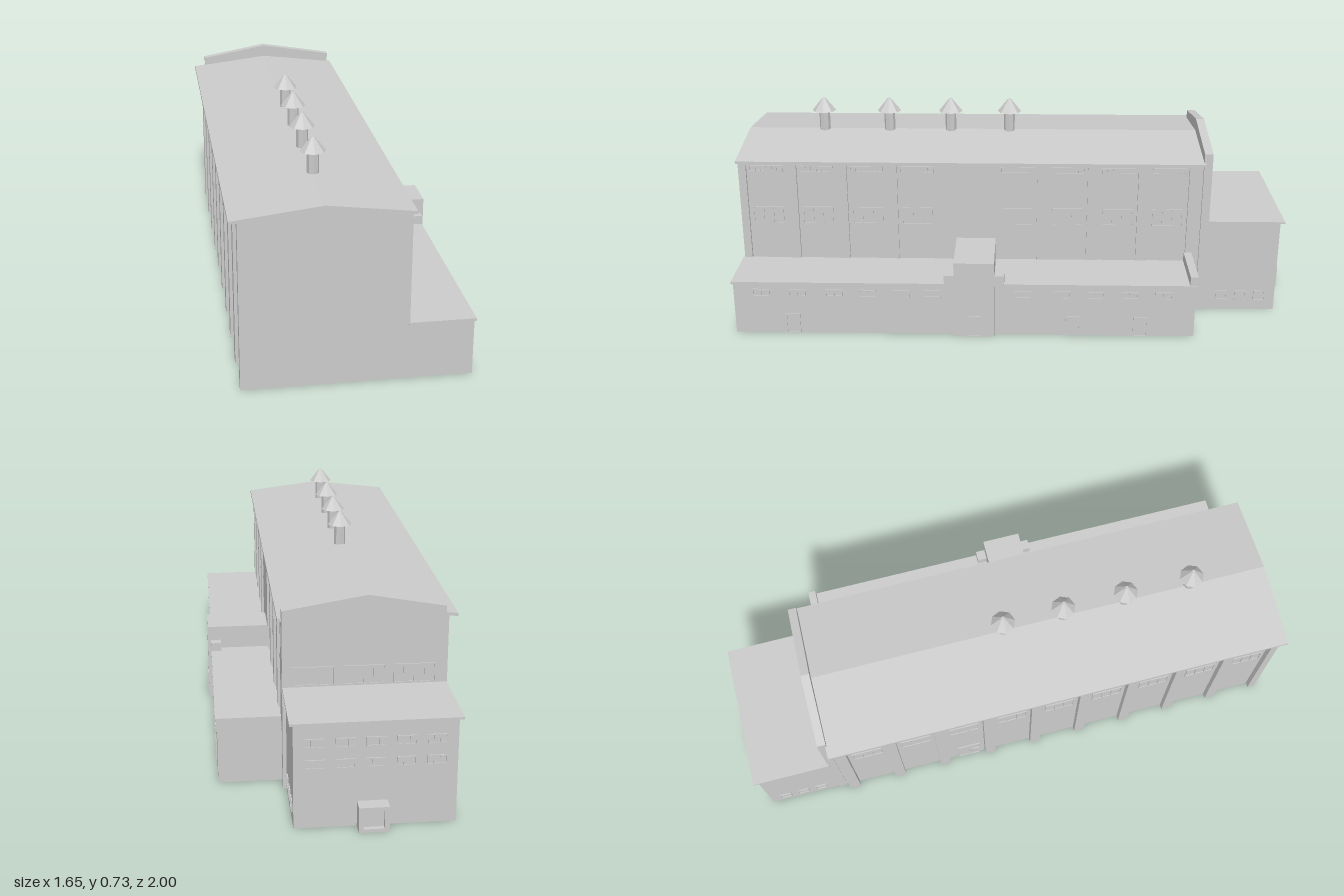
import * as THREE from 'three';

const mat = new THREE.MeshStandardMaterial({ color: 0xcccccc, flatShading: true });

export function createModel() {
  const model = new THREE.Group();
  const hall = new THREE.Group();
  hall.name = 'industrialBuilding';
  hall.rotation.y = 0.535; // the building stands askew to the axes
  model.add(hall);

  const add = (name, geometry, parent = hall) => {
    const mesh = new THREE.Mesh(geometry, mat);
    mesh.name = name;
    parent.add(mesh);
    return mesh;
  };
  // Box given by its limits on each axis
  const box = (name, x0, x1, y0, y1, z0, z1) =>
    add(name, new THREE.BoxGeometry(x1 - x0, y1 - y0, z1 - z0)
      .translate((x0 + x1) / 2, (y0 + y1) / 2, (z0 + z1) / 2));
  // Outline in x and y, extruded along z
  const slab = (name, points, z0, z1) => {
    const shape = new THREE.Shape(points.map(p => new THREE.Vector2(...p)));
    add(name, new THREE.ExtrudeGeometry(shape, { depth: z1 - z0, bevelEnabled: false }).translate(0, 0, z0));
  };
  // Window with a frame and mullions on a wall facing along x or z
  const windowOn = (name, axis, face, dir, centre, width, y0, y1, panes) => {
    const bar = (n, a, b, c, d, out) => {
      const f0 = Math.min(face, face + dir * out), f1 = Math.max(face, face + dir * out);
      if (axis === 'x') box(n, f0, f1, c, d, a, b);
      else box(n, a, b, c, d, f0, f1);
    };
    const a = centre - width / 2, b = centre + width / 2, t = 0.003;
    bar(name + 'Pane', a, b, y0, y1, 0.001);
    bar(name + 'Sill', a, b, y0, y0 + t, 0.004);
    bar(name + 'Head', a, b, y1 - t, y1, 0.004);
    for (let i = 0; i <= panes; i++) {
      const m = a + (b - a - t) * i / panes;
      bar(name + 'Mullion', m, m + t, y0, y1, 0.004);
    }
  };

  // Main hall with gabled roof and raised back wall
  const ridge = -0.085, z0 = -0.75, z1 = 0.925;
  slab('hallWalls', [[-0.333, 0], [0.178, 0], [0.178, 0.57], [ridge, 0.603], [-0.333, 0.573]], z0, z1);
  slab('frontGableWall', [[-0.342, 0], [0.188, 0], [0.188, 0.573], [ridge, 0.605], [-0.342, 0.573]], 0.9, 0.928);
  slab('hallRoof', [[-0.378, 0.57], [ridge, 0.603], [0.2, 0.57], [0.2, 0.58], [ridge, 0.615], [-0.378, 0.58]], z0, 0.934);
  slab('backParapet', [[-0.335, 0], [0.188, 0], [0.188, 0.615], [ridge, 0.66], [-0.335, 0.615]], -0.775, -0.745);

  // Nine bays on each long side, divided by piers
  const step = 0.1817, first = -0.715;
  for (let i = 0; i < 10; i++) {
    const z = first + i * step;
    box('westPier', -0.352, -0.33, 0, 0.574, z - 0.02, Math.min(z + 0.02, 0.928));
    box('eastPier', 0.17, 0.188, 0.18, 0.57, z - 0.02, Math.min(z + 0.02, 0.928));
    if (i === 9) continue;
    const c = z + step / 2;
    windowOn('westWindow', 'x', -0.333, -1, c, 0.11, 0.335, 0.4, 3);
    box('westLintel', -0.339, -0.33, 0.545, 0.574, z, z + step);
    if (i === 4) {
      box('eastBlankBay', 0.17, 0.188, 0.18, 0.57, z, z + step);
    } else {
      windowOn('eastWindow', 'x', 0.178, 1, c, 0.11, 0.335, 0.4, 3);
      windowOn('eastVent', 'x', 0.178, 1, c, 0.12, 0.535, 0.558, 6);
      box('eastLintel', 0.17, 0.188, 0.562, 0.572, z, z + step);
    }
  }
  // West door
  windowOn('westDoor', 'x', -0.333, -1, -0.25, 0.085, 0, 0.12, 2);
  windowOn('westWicket', 'x', -0.334, -1, -0.225, 0.03, 0, 0.07, 1);

  // Low side wing
  box('sideWing', 0.17, 0.397, 0, 0.19, -0.712, 0.928);
  box('sideWingRoof', 0.185, 0.402, 0.19, 0.2, -0.716, 0.934);
  box('sideWingParapet', 0.185, 0.4, 0.19, 0.233, -0.718, -0.69);
  [-0.6, -0.48, -0.36, -0.24, -0.1, 0.22, 0.33, 0.45, 0.57, 0.7, 0.83].forEach(z =>
    windowOn('wingWindow', 'x', 0.397, 1, z, 0.06, 0.145, 0.172, 2));
  [-0.52, -0.28, 0.72].forEach(z => windowOn('wingDoor', 'x', 0.397, 1, z, 0.05, 0, 0.075, 1));

  // Stair block through the side wing, with a small box either side
  box('stairBlock', 0.17, 0.414, 0, 0.285, 0, 0.143);
  box('roofBox', 0.365, 0.402, 0.19, 0.232, -0.035, 0);
  box('roofBox', 0.365, 0.402, 0.19, 0.232, 0.143, 0.178);
  windowOn('stairDoor', 'x', 0.414, 1, 0.07, 0.05, 0, 0.08, 2);

  // Back annex
  box('backAnnex', -0.33, 0.176, 0, 0.35, -1.037, -0.76);
  box('backAnnexRoof', -0.342, 0.188, 0.35, 0.357, -1.051, -0.77);
  for (let i = 0; i < 5; i++) {
    const x = -0.265 + i * 0.094;
    windowOn('annexUpperWindow', 'z', -1.037, -1, x, 0.06, 0.27, 0.3, 3);
    windowOn('annexLowerWindow', 'z', -1.037, -1, x, 0.06, 0.2, 0.23, 3);
  }
  for (let i = 0; i < 3; i++) {
    windowOn('annexWestWindow', 'x', -0.33, -1, -0.98 + i * 0.07, 0.042, 0.038, 0.077, 1);
    windowOn('annexEastWindow', 'x', 0.176, 1, -0.98 + i * 0.07, 0.042, 0.038, 0.077, 1);
    windowOn('clerestoryWindow', 'z', -0.775, -1, -0.236 + i * 0.163, 0.136, 0.362, 0.425, 4);
  }

  // Back porch, open at the rear
  const porch = new THREE.Shape([[-0.115, 0], [-0.02, 0], [-0.02, 0.085], [-0.115, 0.085]].map(p => new THREE.Vector2(...p)));
  porch.holes.push(new THREE.Path([[-0.1, 0.012], [-0.1, 0.072], [-0.035, 0.072], [-0.035, 0.012]].map(p => new THREE.Vector2(...p))));
  add('backPorch', new THREE.ExtrudeGeometry(porch, { depth: 0.06, bevelEnabled: false }).translate(0, 0, -1.085));
  box('porchDoor', -0.102, -0.033, 0.01, 0.074, -1.07, -1.03);

  // Roof vents along the ridge
  [-0.046, 0.174, 0.404, 0.649].forEach(z => {
    const vent = new THREE.Group();
    vent.name = 'roofVent';
    vent.position.set(-0.081, 0, z);
    add('ventPipe', new THREE.CylinderGeometry(0.02, 0.02, 0.1, 8).translate(0, 0.64, 0), vent);
    add('ventCap', new THREE.CylinderGeometry(0.006, 0.044, 0.047, 8).translate(0, 0.711, 0), vent);
    hall.add(vent);
  });

  return model;
}
